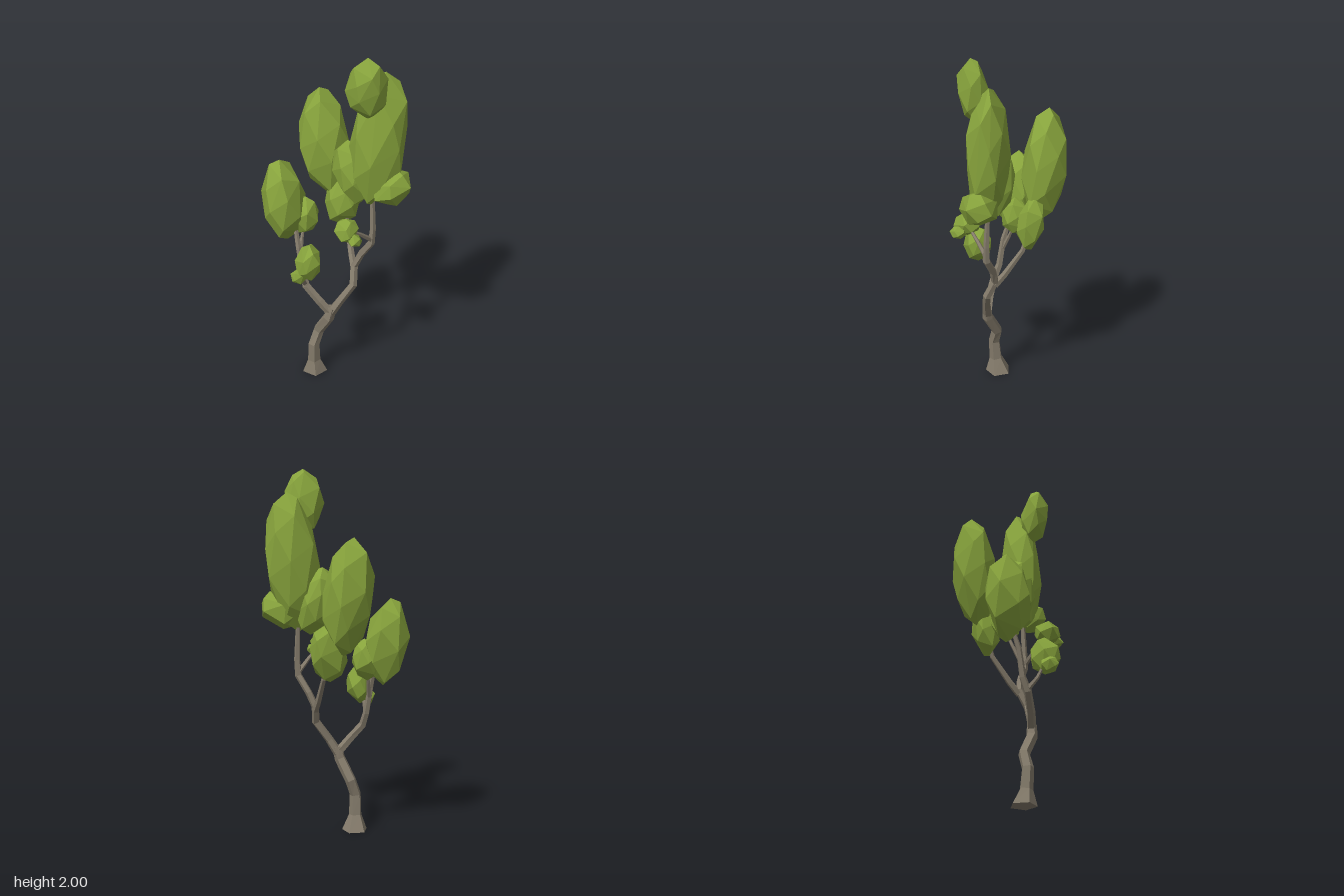
import * as THREE from 'three';
import { ConvexGeometry } from 'three/addons/geometries/ConvexGeometry.js';

const V = (p) => new THREE.Vector3(...p);

// Tapered, faceted limb through points [x, y, z, radius]
function limb(points, sides = 5) {
  const pts = points.map((p) => V(p.slice(0, 3)));
  const pos = [], index = [];
  pts.forEach((p, i) => {
    const t = pts[Math.min(i + 1, pts.length - 1)].clone().sub(pts[Math.max(i - 1, 0)]).normalize();
    if (i === 0 && p.y === 0) t.set(0, 1, 0);
    const u = new THREE.Vector3(1, 0, 0).addScaledVector(t, -t.x).normalize();
    const v = t.clone().cross(u);
    for (let j = 0; j < sides; j++) {
      const a = (j / sides) * Math.PI * 2 - 1.45;
      const q = p.clone().addScaledVector(u, Math.cos(a) * points[i][3]).addScaledVector(v, Math.sin(a) * points[i][3]);
      pos.push(q.x, q.y, q.z);
    }
  });
  const last = (pts.length - 1) * sides;
  for (let i = 0; i < last; i += sides) {
    for (let j = 0; j < sides; j++) {
      const a = i + j, b = i + ((j + 1) % sides);
      index.push(a, b, b + sides, a, b + sides, a + sides);
    }
  }
  for (let j = 1; j < sides - 1; j++) {
    index.push(0, j + 1, j, last, last + j, last + j + 1);
  }
  const g = new THREE.BufferGeometry();
  g.setAttribute('position', new THREE.Float32BufferAttribute(pos, 3));
  g.setIndex(index);
  g.computeVertexNormals();
  return g;
}

// Irregular faceted leaf clump filling the box min..max, its tip leaning by lean [x, z]
function clump(min, max, lean, seed, n) {
  let s = seed * 7919 + 17;
  const rnd = () => (s = (s * 16807) % 2147483647) / 2147483647;
  rnd();
  const pts = [];
  for (let i = 0; i < n; i++) {
    const y = 1 - (2 * i) / (n - 1);
    const r = Math.sqrt(Math.max(0, 1 - y * y));
    const a = i * 2.39996 + seed + (rnd() - 0.5) * 0.5;
    const k = 0.95 + rnd() * 0.1;
    pts.push(new THREE.Vector3((Math.cos(a) * r + lean[0] * y) * k, y, (Math.sin(a) * r + lean[1] * y) * k));
  }
  // Fit the points to the box
  const box = new THREE.Box3().setFromPoints(pts);
  const size = box.getSize(new THREE.Vector3());
  const a = V(min), d = V(max).sub(a);
  pts.forEach((p) => p.sub(box.min).divide(size).multiply(d).add(a));
  return new ConvexGeometry(pts);
}

export function createModel() {
  const tree = new THREE.Group();
  tree.name = 'tree';
  const bark = new THREE.MeshStandardMaterial({ color: 0x847b6b, flatShading: true });
  bark.name = 'bark';
  const leaf = new THREE.MeshStandardMaterial({ color: 0x87a33c, flatShading: true });
  leaf.name = 'leaf green';

  const add = (name, geometry, material) => {
    const m = new THREE.Mesh(geometry, material);
    m.name = name;
    tree.add(m);
  };

  // Trunk and branches
  const limbs = {
    trunk: [[-0.112, 0, 0.075, 0.073], [-0.115, 0.085, 0.09, 0.037], [-0.115, 0.2, 0.098, 0.033],
      [-0.088, 0.285, 0.08, 0.032], [-0.03, 0.4, 0.122, 0.032], [-0.012, 0.47, 0.122, 0.028]],
    leftBranch: [[-0.02, 0.43, 0.122, 0.028], [0.03, 0.51, 0.12, 0.024], [0.105, 0.615, 0.105, 0.023],
      [0.108, 0.71, 0.06, 0.022], [0.145, 0.79, 0.065, 0.02], [0.2, 0.88, 0.09, 0.02],
      [0.207, 0.97, 0.09, 0.017], [0.2, 1.2, 0.08, 0.012]],
    rightBranch: [[-0.015, 0.43, 0.122, 0.026], [-0.08, 0.51, 0.118, 0.024], [-0.155, 0.6, 0.1, 0.022],
      [-0.172, 0.67, 0.075, 0.019], [-0.195, 0.82, 0.055, 0.016], [-0.22, 0.97, 0.01, 0.01]],
    backBranch: [[0.108, 0.69, 0.06, 0.02], [0.092, 0.75, 0.01, 0.018], [0.065, 0.89, -0.085, 0.014],
      [0.03, 1.08, -0.14, 0.008]],
    leftTwig: [[0.2, 0.9, 0.09, 0.015], [0.14, 0.97, 0.15, 0.011], [0.08, 1.03, 0.21, 0.007]],
    rightTwig: [[-0.16, 0.61, 0.1, 0.015], [-0.17, 0.67, 0.15, 0.011], [-0.155, 0.77, 0.195, 0.007]],
    innerTwig: [[-0.185, 0.76, 0.06, 0.012], [-0.18, 0.85, 0.02, 0.01], [-0.165, 0.95, -0.02, 0.006]],
  };
  for (const [name, pts] of Object.entries(limbs)) add(name, limb(pts), bark);

  // Leaf clumps: name, min corner, max corner, lean, point count
  const clumps = [
    ['tallLeaves', [0.075, 1.12, -0.045], [0.375, 1.88, 0.19], [0.2, -0.1], 26],
    ['crownLeaves', [0.055, 1.65, 0.075], [0.27, 2.0, 0.235], [0, 0.2], 22],
    ['backLeaves', [-0.2, 1.03, -0.305], [0.075, 1.66, -0.065], [-0.2, -0.15], 26],
    ['middleLeaves', [-0.012, 1.11, -0.045], [0.22, 1.48, 0.15], [-0.3, -0.1], 22],
    ['outerLeaves', [0.2, 1.135, 0.02], [0.4, 1.35, 0.217], [0.2, 0], 17],
    ['lowBackLeaves', [-0.06, 0.88, -0.2], [0.14, 1.2, -0.045], [0.1, -0.3], 20],
    ['rightLeaves', [-0.4, 0.84, -0.12], [-0.16, 1.32, 0.112], [-0.15, -0.1], 22],
    ['innerLeaves', [-0.245, 0.87, -0.095], [-0.09, 1.1, 0.06], [0.1, 0], 18],
    ['rightFrontLeaves', [-0.208, 0.7, 0.117], [-0.07, 0.92, 0.275], [0.1, 0], 18],
    ['rightTuft', [-0.23, 0.69, 0.17], [-0.145, 0.785, 0.262], [0, 0], 15],
    ['leftFrontLeaves', [0.005, 0.965, 0.145], [0.135, 1.105, 0.287], [0, 0], 17],
    ['leftTuft', [0.075, 0.965, 0.215], [0.153, 1.035, 0.303], [0, 0], 15],
  ];
  clumps.forEach(([name, min, max, lean, n], i) => add(name, clump(min, max, lean, i + 1, n), leaf));
  return tree;
}
